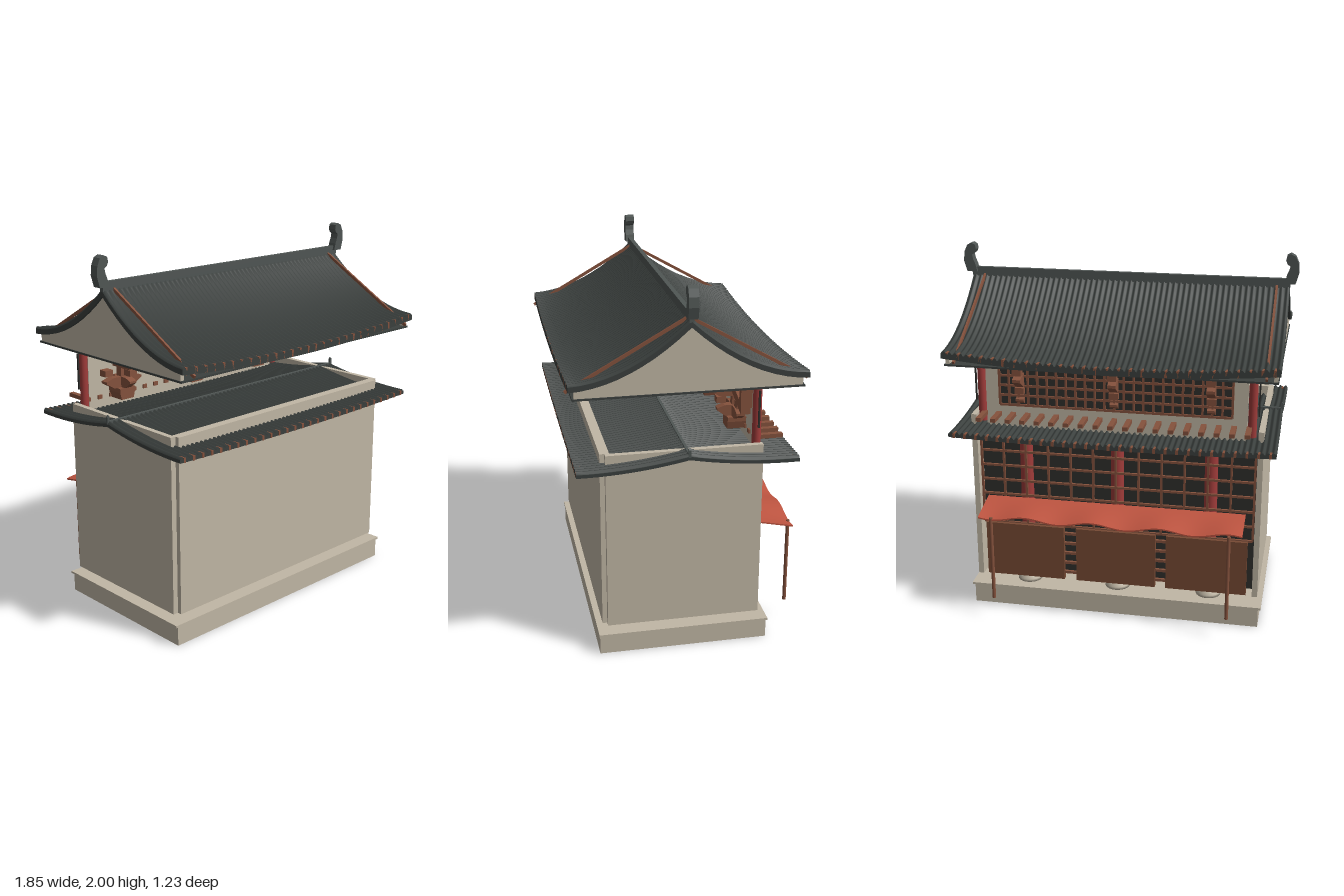
import * as THREE from 'three';

const mat = (name, color) => Object.assign(new THREE.MeshStandardMaterial({ color }), { name });

export function createModel() {
  const M = {
    plaster: mat('plaster', 0xc1b7a5),
    tile: mat('roof tile', 0x3b403e),
    ridge: mat('ridge grey', 0x505654),
    wood: mat('bracket wood', 0x85523d),
    counter: mat('counter wood', 0x774a34),
    red: mat('column red', 0xa03c3a),
    cloth: mat('awning cloth', 0xbd5440),
    dark: mat('dark backing', 0x2f2f2c),
  };
  const model = new THREE.Group();
  model.name = 'shopHouse';

  const add = (name, geo, m, x = 0, y = 0, z = 0, parent = model) => {
    const mesh = new THREE.Mesh(geo, m);
    mesh.name = name;
    mesh.position.set(x, y, z);
    parent.add(mesh);
    return mesh;
  };
  // box given by its min/max limits
  const box = (name, m, x0, x1, y0, y1, z0, z1, parent) =>
    add(name, new THREE.BoxGeometry(x1 - x0, y1 - y0, z1 - z0), m,
      (x0 + x1) / 2, (y0 + y1) / 2, (z0 + z1) / 2, parent);
  const group = (name, x = 0, y = 0, z = 0) => {
    const g = new THREE.Group();
    g.name = name;
    g.position.set(x, y, z);
    model.add(g);
    return g;
  };
  // outline in the x-y plane, extruded evenly about z = 0
  const slab = (pts, depth) => {
    const shape = new THREE.Shape(pts.map(p => new THREE.Vector2(p[0], p[1])));
    return new THREE.ExtrudeGeometry(shape, { depth, bevelEnabled: false }).translate(0, 0, -depth / 2);
  };

  // plinth and walls
  box('plinth', M.plaster, -0.81, 0.81, 0, 0.108, -0.445, 0.46);
  box('plinthSlab', M.plaster, -0.825, 0.825, 0.108, 0.12, -0.45, 0.465);
  box('frontWall', M.plaster, -0.77, 0.77, 0.16, 1.13, 0.39, 0.44);
  for (const s of [-1, 1]) {
    const a = s * 0.77 - 0.0, b = s * 0.8;
    box('sideWall', M.plaster, Math.min(a, b), Math.max(a, b), 0.16, 1.13, -0.4, 0.415);
  }

  // tiled roof: a thick sheet bent to a sagging profile, its top ribbed
  const roofY = (r, x, t) => r.top - r.fall * t - r.sag * 4 * t * (1 - t) + r.lift * t * t * (x / r.half) ** 2;
  const upper = { top: 1.82, fall: 0.335, sag: 0.055, lift: 0.045, half: 0.88, depth: 0.6, thick: 0.028 };
  const lower = { top: 1.125, fall: 0.068, sag: 0.012, lift: 0.015, half: 0.875, depth: 0.57, thick: 0.018 };
  const ribs = 58;
  function tiledRoof(name, r) {
    const g = group(name);
    for (const s of [-1, 1]) {
      const geo = new THREE.BoxGeometry(2 * r.half, 1, r.depth, ribs * 4, 1, 10);
      const p = geo.attributes.position;
      for (let i = 0; i < p.count; i++) {
        const x = p.getX(i), z = p.getZ(i) + s * r.depth / 2, t = Math.abs(z) / r.depth;
        const k = Math.round((x + r.half) / (2 * r.half) * ribs * 4) % 4;
        const rib = p.getY(i) > 0 ? (k === 1 || k === 2 ? 0.012 : 0) : -r.thick;
        p.setXYZ(i, x, roofY(r, x, t) + rib, z);
      }
      geo.computeVertexNormals();
      add('tiles', geo, M.tile, 0, 0, 0, g);
      // rafter tips between the tiles at the eaves
      for (let i = 0; i < ribs; i += 2) {
        const x = -r.half + (i + 1) * 2 * r.half / ribs;
        const y = roofY(r, x, 0.97);
        box('rafterTip', M.wood, x - 0.007, x + 0.007, y - r.thick - 0.002, y + 0.006,
          s * r.depth * 0.97 - 0.018, s * r.depth * 0.97 + 0.018, g);
      }
    }
  }
  tiledRoof('upperRoof', upper);
  tiledRoof('lowerRoof', lower);
  box('upperRidge', M.ridge, -0.88, 0.88, 1.815, 1.865, -0.012, 0.012);
  box('lowerRidge', M.ridge, -0.87, 0.87, 1.11, 1.138, -0.007, 0.007);
  box('ceiling', M.tile, -0.87, 0.87, 1.455, 1.465, -0.58, 0.58);

  // gables, straight barge rods and ridge-end ornaments
  const gable = [];
  for (let i = -10; i <= 10; i++) gable.push([i * 0.057, Math.max(1.466, roofY(upper, 0.86, Math.abs(i) * 0.095) - 0.02)]);
  gable.push([0.57, 1.464], [-0.57, 1.464]);
  const gableGeo = slab(gable.reverse(), 0.02).rotateY(Math.PI / 2);
  const hook = [[0.85, 1.84], [0.908, 1.84], [0.925, 1.9], [0.92, 1.95], [0.903, 1.988], [0.878, 2],
    [0.858, 1.99], [0.853, 1.965], [0.862, 1.945], [0.877, 1.935], [0.872, 1.91], [0.86, 1.88]];
  for (const s of [-1, 1]) {
    add('gable', gableGeo, M.plaster, s * 0.855);
    const pts = hook.map(([x, y]) => [s * x, y]);
    add('ridgeOrnament', slab(pts, 0.05), M.ridge);
    const small = [[0.845, 1.12], [0.875, 1.12], [0.877, 1.16], [0.868, 1.17], [0.862, 1.16], [0.862, 1.138]];
    add('lowerRidgeOrnament', slab(small.map(([x, y]) => [s * x, y]), 0.012), M.ridge);
    for (const e of [-1, 1]) {
      const rod = add('bargeRod', new THREE.BoxGeometry(0.012, 0.016, 0.7), M.wood, s * 0.81, 1.655, e * 0.304);
      rod.rotation.x = e * Math.atan2(0.345, 0.61);
    }
  }

  // upper storey: back wall, columns, window lattice and balcony joists
  box('upperWall', M.plaster, -0.71, 0.71, 1.06, 1.456, -0.39, -0.37);
  function lattice(name, x0, x1, y0, y1, z, cols, rows, w) {
    const g = group(name);
    for (let i = 0; i <= cols; i++) {
      const x = x0 + (x1 - x0) * i / cols;
      box('upright', M.wood, x - w, x + w, y0, y1, z - w, z + w, g);
    }
    for (let j = 0; j <= rows; j++) {
      const y = y0 + (y1 - y0) * j / rows;
      box('rail', M.wood, x0, x1, y - w, y + w, z - w, z + w, g);
    }
  }
  box('upperWindow', M.dark, -0.63, 0.63, 1.2, 1.42, -0.397, -0.39);
  lattice('upperLattice', -0.63, 0.63, 1.2, 1.42, -0.4, 24, 4, 0.006);
  for (const s of [-1, 1]) {
    add('upperColumn', new THREE.CylinderGeometry(0.023, 0.023, 0.36, 16), M.red, s * 0.735, 1.276, -0.378);
    box('edgeSlat', M.dark, s * 0.768 - 0.004, s * 0.768 + 0.004, 1.21, 1.41, -0.385, -0.375);
  }
  for (let i = 0; i < 19; i++) {
    const x = -0.72 + i * 0.08;
    box('balconyJoist', M.wood, x - 0.014, x + 0.014, 1.133, 1.155, -0.52, -0.36);
  }

  // bracket sets
  const bow = (w, y0, y1) => slab([[-w * 0.55, y0], [w * 0.55, y0], [w, y0 + (y1 - y0) * 0.55],
    [w, y0 + (y1 - y0) * 0.75], [w * 0.6, y1], [-w * 0.6, y1], [-w, y0 + (y1 - y0) * 0.75], [-w, y0 + (y1 - y0) * 0.55]], 0.045);
  const columnX = [-0.52, 0, 0.515];
  for (const cx of columnX) {
    const g = group('bracketSet', cx, 0, -0.32);
    add('base', slab([[-0.042, 1.13], [0.042, 1.13], [0.052, 1.17], [0.052, 1.195], [-0.052, 1.195], [-0.052, 1.17]], 0.1), M.wood, 0, 0, 0, g);
    add('bowArm', bow(0.122, 1.195, 1.255), M.wood, 0, 0, 0, g);
    add('crossArm', bow(0.1, 1.195, 1.255).rotateY(Math.PI / 2), M.wood, 0, 0, 0, g);
    add('longCrossArm', bow(0.155, 1.305, 1.385).rotateY(Math.PI / 2), M.wood, 0, 0, 0, g);
    box('post', M.wood, -0.02, 0.02, 1.25, 1.42, -0.02, 0.02, g);
    add('slantedArm', slab([[-0.155, 1.44], [-0.155, 1.39], [0.21, 1.27], [0.21, 1.325]], 0.05), M.wood, 0, 0, 0, g);
    for (const s of [-1, 1]) {
      box('sideBlock', M.wood, s * 0.105 - 0.025, s * 0.105 + 0.025, 1.27, 1.305, -0.025, 0.025, g);
      box('lowBlock', M.wood, -0.025, 0.025, 1.27, 1.305, s * 0.08 - 0.025, s * 0.08 + 0.025, g);
      box('topBlock', M.wood, -0.025, 0.025, 1.385, 1.42, s * 0.13 - 0.02, s * 0.13 + 0.02, g);
    }
    box('endBlock', M.wood, 0.19, 0.225, 1.31, 1.42, -0.03, 0.03, g);
    box('capBeam', M.ridge, -0.022, 0.022, 1.42, 1.457, -0.15, 0.15, g);
    box('endBeam', M.ridge, 0.205, 0.25, 1.42, 1.457, -0.15, 0.15, g);
  }

  // ground floor shop front: columns, lattice, counters
  const baseProfile = [[0, 0.12], [0.07, 0.12], [0.068, 0.135], [0.055, 0.155], [0.042, 0.165], [0, 0.165]]
    .map(p => new THREE.Vector2(...p));
  for (const cx of columnX) {
    add('columnBase', new THREE.LatheGeometry(baseProfile, 24), M.plaster, cx, 0, -0.32);
    add('column', new THREE.CylinderGeometry(0.036, 0.036, 0.9, 20), M.red, cx, 0.615, -0.32);
  }
  box('shopBacking', M.dark, -0.77, 0.77, 0.16, 1.05, -0.31, -0.3);
  box('lintel', M.wood, -0.77, 0.77, 1, 1.04, -0.38, -0.34);
  lattice('shopLattice', -0.76, 0.76, 0.48, 1, -0.365, 12, 6, 0.006);
  for (const x of [-0.51, 0, 0.52]) box('counter', M.counter, x - 0.225, x + 0.225, 0.16, 0.48, -0.39, -0.36);
  for (const x of [-0.255, 0.26])
    for (let i = 0; i < 5; i++) box('counterRung', M.wood, x - 0.04, x + 0.04, 0.19 + i * 0.06, 0.205 + i * 0.06, -0.375, -0.36);

  // wavy awning on two poles
  const cloth = new THREE.BoxGeometry(1.44, 0.008, 0.205, 64, 1, 6);
  const p = cloth.attributes.position;
  for (let i = 0; i < p.count; i++) {
    const t = 0.5 - p.getZ(i) / 0.205;
    p.setY(i, p.getY(i) + 0.651 - 0.04 * t + 0.013 * t * Math.sin(p.getX(i) * 17));
  }
  cloth.computeVertexNormals();
  add('awning', cloth, M.cloth, 0, 0, -0.5025);
  for (const s of [-1, 1])
    add('awningPole', new THREE.CylinderGeometry(0.01, 0.01, 0.49, 12), M.wood, s * 0.65, 0.365, -0.597);

  return model;
}
